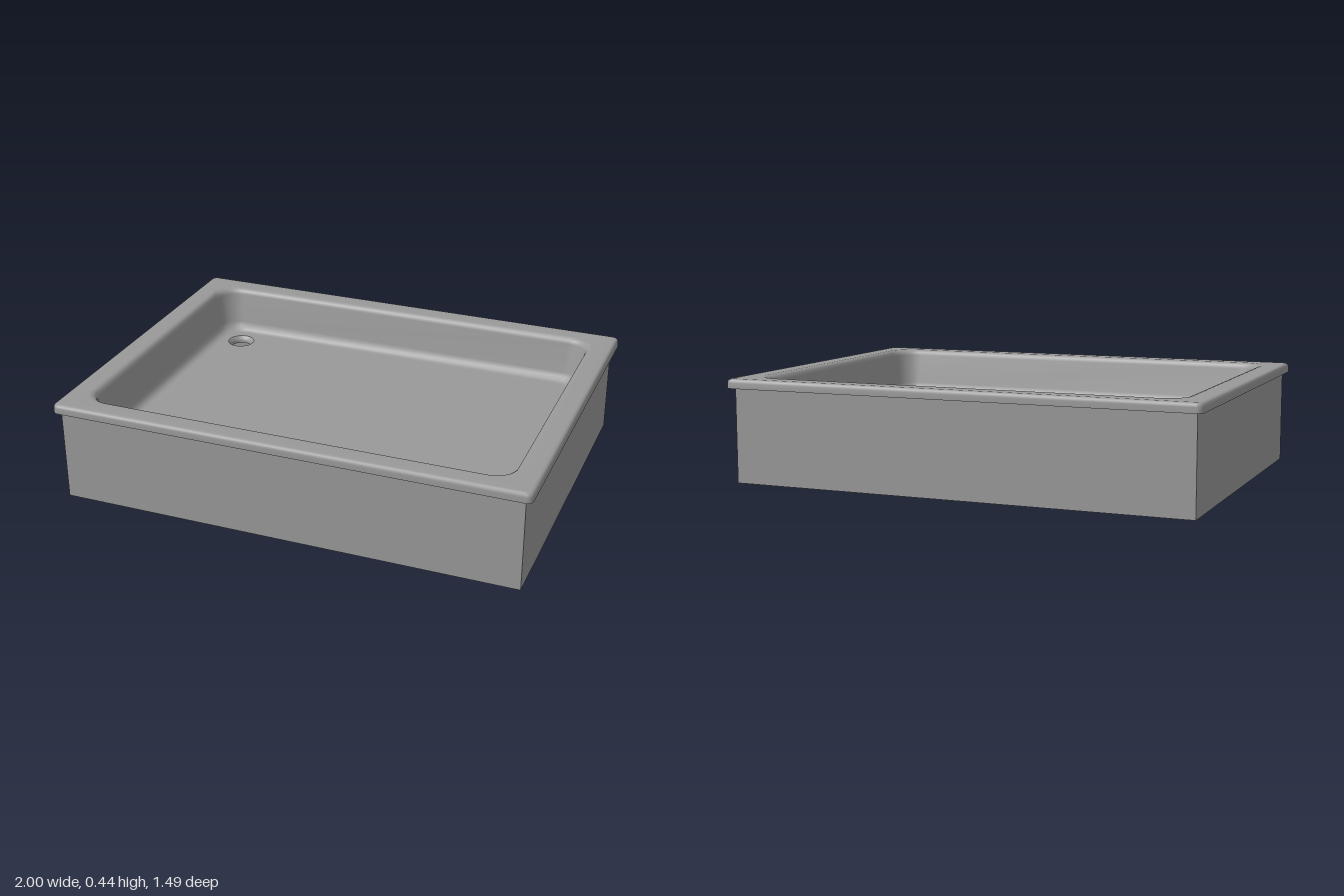
import * as THREE from 'three';

const FLOOR_Y = 0.24;
const CORNER_STEPS = 8;

// Points of a rounded rectangle, anticlockwise seen from the front of its plane
function roundedRect(hx, hz, r) {
  const points = [];
  [[1, 1], [-1, 1], [-1, -1], [1, -1]].forEach(([sx, sz], corner) => {
    for (let i = 0; i <= CORNER_STEPS; i++) {
      const a = (corner + i / CORNER_STEPS) * Math.PI / 2;
      points.push(new THREE.Vector2(sx * (hx - r) + r * Math.cos(a), sz * (hz - r) + r * Math.sin(a)));
    }
  });
  return points;
}

// Smooth skin through rounded rectangles [halfX, halfZ, radius, y], from outside to inside
function loft(rings) {
  const positions = [], index = [];
  const n = 4 * (CORNER_STEPS + 1);
  rings.forEach(([hx, hz, r, y], k) => {
    roundedRect(hx, hz, r).forEach((p, i) => {
      positions.push(p.x, y, -p.y);
      if (k === 0) return;
      const a = (k - 1) * n + i, b = (k - 1) * n + (i + 1) % n;
      index.push(a, b, b + n, a, b + n, a + n);
    });
  });
  const geometry = new THREE.BufferGeometry();
  geometry.setAttribute('position', new THREE.Float32BufferAttribute(positions, 3));
  geometry.setIndex(index);
  geometry.computeVertexNormals();
  return geometry;
}

export function createModel() {
  const model = new THREE.Group();
  model.name = 'showerTray';
  const grey = new THREE.MeshStandardMaterial({ color: 0x999999, side: THREE.DoubleSide });
  grey.name = 'grey';

  const add = (name, geometry, x = 0, y = 0, z = 0) => {
    const mesh = new THREE.Mesh(geometry, grey);
    mesh.name = name;
    mesh.position.set(x, y, z);
    model.add(mesh);
    return mesh;
  };

  // Rim with a turned-down lip, rolling over into the basin walls
  add('rimAndBasin', loft([
    [1.0, 0.747, 0.025, 0.395],
    [1.0, 0.747, 0.025, 0.418],
    [0.997, 0.744, 0.023, 0.428],
    [0.991, 0.738, 0.02, 0.433],
    [0.982, 0.729, 0.015, 0.435],
    [0.915, 0.668, 0.105, 0.435],
    [0.903, 0.656, 0.1, 0.432],
    [0.894, 0.647, 0.097, 0.424],
    [0.888, 0.641, 0.095, 0.41],
    [0.868, 0.619, 0.085, 0.28],
    [0.861, 0.612, 0.082, 0.26],
    [0.85, 0.601, 0.078, 0.246],
    [0.835, 0.586, 0.07, FLOOR_Y],
    [0.82, 0.571, 0.06, FLOOR_Y],
  ]));

  // Flat floor with the drain opening
  const drainX = -0.738, drainZ = -0.487;
  const floor = new THREE.Shape(roundedRect(0.82, 0.571, 0.06));
  floor.holes.push(new THREE.Path().absarc(drainX, -drainZ, 0.06, 0, Math.PI * 2, true));
  add('basinFloor', new THREE.ShapeGeometry(floor, 16).rotateX(-Math.PI / 2), 0, FLOOR_Y, 0);

  // Dished drain recess, open at the bottom
  const dish = [[0.046, -0.03], [0.046, -0.018], [0.05, -0.012], [0.055, -0.004], [0.06, 0]];
  add('drain', new THREE.LatheGeometry(dish.map(([r, y]) => new THREE.Vector2(r, y)), 32),
    drainX, FLOOR_Y, drainZ);

  // Hollow skirt of four panels
  const height = 0.398, thick = 0.07, width = 1.945, depth = 1.434;
  for (const side of [1, -1]) {
    add(side > 0 ? 'frontPanel' : 'backPanel', new THREE.BoxGeometry(width, height, thick),
      -0.002, height / 2, side * (depth - thick) / 2);
    add(side > 0 ? 'leftPanel' : 'rightPanel', new THREE.BoxGeometry(thick, height, depth - 2 * thick),
      -0.002 + side * (width - thick) / 2, height / 2, 0);
  }
  return model;
}
